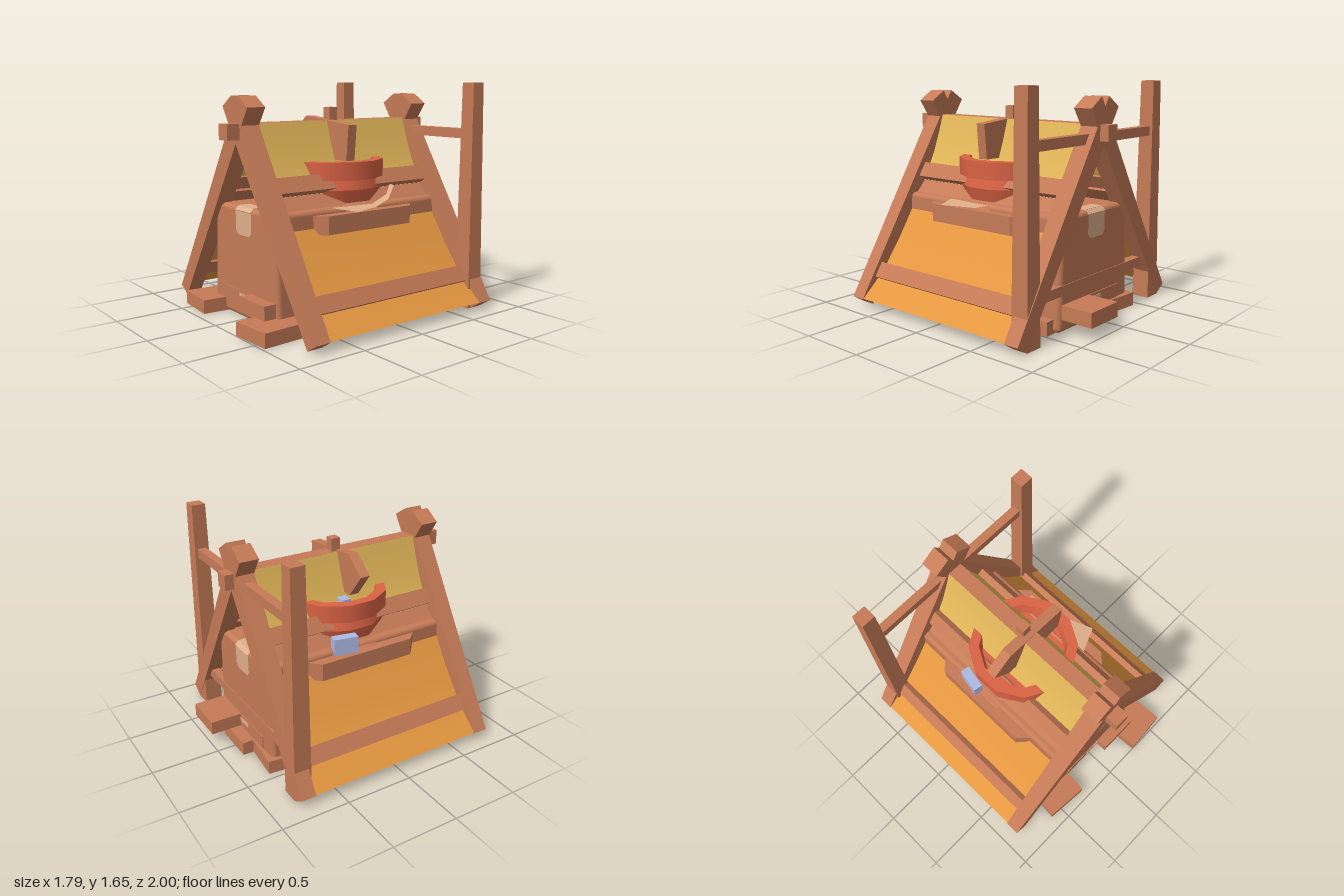
import * as THREE from 'three';
import { RoundedBoxGeometry } from 'three/addons/geometries/RoundedBoxGeometry.js';

const mat = (name, color, side = THREE.FrontSide) => {
  const m = new THREE.MeshStandardMaterial({ color, side });
  m.name = name;
  return m;
};

export function createModel() {
  const root = new THREE.Group();
  const wood = mat('wood', 0xc67b57);
  const yellow = mat('yellowCloth', 0xe3b759, THREE.DoubleSide);
  const orange = mat('orangeCloth', 0xe59740, THREE.DoubleSide);
  const red = mat('redClay', 0xdb6345);
  const blue = mat('blueStone', 0xaebae4);
  const beige = mat('beigeTape', 0xdfaf8b);

  const add = (name, geo, material, x = 0, y = 0, z = 0) => {
    const m = new THREE.Mesh(geo, material);
    m.name = name;
    m.position.set(x, y, z);
    root.add(m);
    return m;
  };
  const box = (name, material, w, h, d, x, y, z) =>
    add(name, new THREE.BoxGeometry(w, h, d), material, x, y, z);

  // Square beam between two points in an xy plane, tapering from w0 to w1
  const beam = (name, x0, y0, x1, y1, z, w0, w1) => {
    const dx = x1 - x0, dy = y1 - y0, len = Math.hypot(dx, dy);
    const geo = new THREE.BoxGeometry(1, len, 1);
    const p = geo.attributes.position;
    for (let i = 0; i < p.count; i++) {
      const w = p.getY(i) > 0 ? w1 : w0;
      p.setX(i, p.getX(i) * w);
      p.setZ(i, p.getZ(i) * w);
    }
    geo.computeVertexNormals();
    const m = add(name, geo, wood, (x0 + x1) / 2, (y0 + y1) / 2, z);
    m.rotation.z = Math.atan2(-dx, dy);
    return m;
  };

  // Smooth sheet joining two rows of points
  const sheet = (name, rowA, rowB, material) => {
    const n = rowA.length, index = [];
    for (let i = 0; i < n - 1; i++) index.push(i, n + i, n + i + 1, i, n + i + 1, i + 1);
    const geo = new THREE.BufferGeometry();
    geo.setAttribute('position', new THREE.Float32BufferAttribute([...rowA, ...rowB].flat(), 3));
    geo.setIndex(index);
    geo.computeVertexNormals();
    return add(name, geo, material);
  };

  // Crossed A-frames at both ends, and the ridge pole
  for (const z of [0.745, -0.745])
    for (const s of [1, -1])
      beam('frameLeg', s * 0.848, 0.033, s * -0.1025, 1.53, z, 0.112, 0.142);
  box('ridgePole', wood, 0.11, 0.11, 1.79, 0, 1.325, 0.015);

  // Tall back posts and their rails
  for (const s of [1, -1]) beam('backPost', s * 0.733, 0, s * 0.733, 1.655, -0.733, 0.133, 0.104);
  box('upperRail', wood, 1.38, 0.07, 0.065, 0, 1.285, -0.733);
  box('lowerRail', wood, 1.36, 0.07, 0.065, 0, 0.3, -0.733);

  // Sagging cloth roof, purlins and inner flaps on both sides
  const Z = 0.69;
  const slope = 0.575;
  for (const s of [1, -1]) {
    const roof = (name, pts, m) =>
      sheet(name, pts.map(([x, y]) => [s * x, y, s * Z]), pts.map(([x, y]) => [s * x, y, -s * Z]), m);
    roof('upperRoof', [[0.056, 1.38], [0.1, 1.24], [0.152, 1.1], [0.205, 0.99], [0.265, 0.885]], yellow);
    roof('lowerRoof', [[0.385, 0.69], [0.53, 0.465], [0.66, 0.29], [0.745, 0.195], [0.89, 0.065]], orange);
    for (const [x, y] of [[0.253, 0.951], [0.711, 0.241]])
      box('purlin', wood, 0.07, 0.119, 1.4, s * x, y, 0).rotation.z = s * slope;
    box('innerFlap', wood, 0.02, 0.18, 1.38, s * 0.302, 0.818, 0).rotation.z = s * 0.745;
  }

  // Carton, slightly wider at the bottom
  const cartonGeo = new RoundedBoxGeometry(0.79, 0.795, 1.52, 3, 0.035);
  const cp = cartonGeo.attributes.position;
  for (let i = 0; i < cp.count; i++) cp.setX(i, cp.getX(i) * (1.03 - 0.1 * cp.getY(i)));
  add('carton', cartonGeo, wood, 0, 0.4, 0);

  // Tape over both ends of the carton
  const c = 0.03;
  const tape = new THREE.Shape();
  [[-0.1, 0.775], [-0.1, 0.6 + c], [-0.1 + c, 0.6], [0.1 - c, 0.6], [0.1, 0.6 + c], [0.1, 0.775]]
    .forEach(([x, y], i) => (i ? tape.lineTo(x, y) : tape.moveTo(x, y)));
  for (const s of [1, -1]) {
    add('endTape', new THREE.ShapeGeometry(tape), beige, 0, 0, s * 0.763).rotation.y = s > 0 ? 0 : Math.PI;
    box('tapeCorner', beige, 0.2, 0.04, 0.006, 0, 0.785, s * 0.751).rotation.x = -s * 0.785;
    box('topTape', beige, 0.2, 0.006, 0.09, 0, 0.799, s * 0.695);
    box('lowTape', beige, 0.13, 0.03, 0.006, 0.01, 0.165, s * 0.769);
  }

  // Pair of red bars on the carton's left side
  for (const [y, z] of [[0.225, -0.08], [0.315, -0.12]]) box('sideBar', red, 0.024, 0.04, 0.26, 0.42, y, z);

  // Loose floor planks
  box('leftPlank', wood, 0.32, 0.1, 1.72, -0.362, 0.05, 0.065).rotation.y = -0.09;
  box('rightPlank', wood, 0.32, 0.1, 1.7, 0.385, 0.05, 0.14).rotation.y = 0.06;
  box('middlePlank', wood, 0.32, 0.1, 0.5, 0.015, 0.05, -0.61);
  box('upperPlank', wood, 0.31, 0.1, 1.85, 0.235, 0.15, -0.075);
  box('innerPlank', wood, 0.35, 0.1, 1.535, -0.1, 0.15, 0);

  // Wide tray with cut corners
  const tray = new THREE.Shape();
  [[0.47, 0.375], [0.355, 0.49], [-0.355, 0.49], [-0.47, 0.375],
    [-0.47, -0.375], [-0.355, -0.49], [0.355, -0.49], [0.47, -0.375]].forEach(([x, y], i) =>
    i ? tray.lineTo(x, y) : tray.moveTo(x, y));
  const trayGeo = new THREE.ExtrudeGeometry(tray, { depth: 0.13, bevelEnabled: false });
  add('tray', trayGeo, wood, 0, 0.76, 0).rotation.x = Math.PI / 2;

  // Twelve-sided clay bowl, one band per profile step, on a low base
  const twelfth = Math.PI / 12;
  add('bowlBase', new THREE.CylinderGeometry(0.33, 0.42, 0.06, 12), wood, 0, 0.79, 0).rotation.y = twelfth;
  const profile = [[0, 0.795], [0.345, 0.795], [0.378, 0.9], [0.36, 0.97], [0.392, 0.97], [0.394, 1.1],
    [0.32, 1.1], [0.3, 1.01], [0, 1.0]].map(([x, y]) => new THREE.Vector2(x, y));
  for (let i = 0; i < profile.length - 1; i++)
    add('bowl', new THREE.LatheGeometry(profile.slice(i, i + 2), 12), red).rotation.y = twelfth;

  // Upright board through the roof with a peg on top
  const board = new THREE.Shape();
  [[-0.36, 1.28], [-0.22, 1.1], [0.283, 1.1], [0.307, 1.357], [-0.2, 1.405]].forEach(([x, y], i) =>
    i ? board.lineTo(x, y) : board.moveTo(x, y));
  add('board', new THREE.ExtrudeGeometry(board, { depth: 0.075, bevelEnabled: false }), wood);
  box('peg', wood, 0.07, 0.11, 0.07, 0, 1.42, 0);

  // Small stones
  box('sideStone', blue, 0.07, 0.13, 0.18, -0.395, 0.82, -0.15).rotation.y = -0.2;
  box('bowlStone', blue, 0.1, 0.08, 0.07, -0.19, 1.04, -0.035);

  // Curled strip hanging from the bowl
  sheet('curledStrip',
    [[0.39, 0.91, -0.29], [0.43, 0.82, -0.2], [0.465, 0.78, -0.05], [0.56, 0.785, 0.2]],
    [[0.32, 0.91, -0.31], [0.35, 0.84, -0.25], [0.37, 0.79, -0.1], [0.37, 0.795, 0.28]], beige);

  return root;
}
